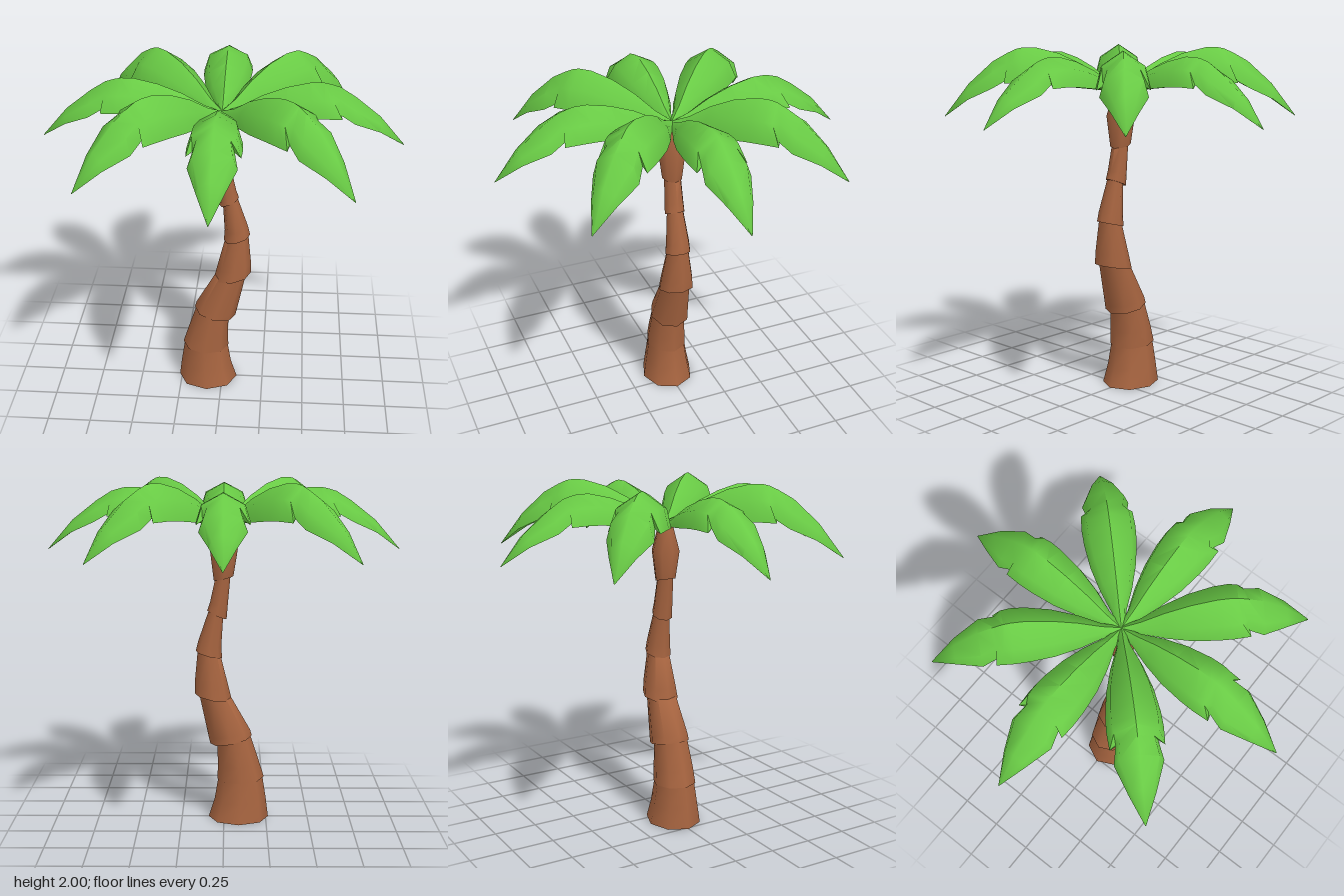
import * as THREE from 'three';
import { toCreasedNormals } from 'three/addons/utils/BufferGeometryUtils.js';

const bark = new THREE.MeshStandardMaterial({ name: 'barkBrown', color: 0xa5633f });
const leaf = new THREE.MeshStandardMaterial({ name: 'leafGreen', color: 0x69cb45 });

// Skin a list of closed rings (arrays of [x, y, z]) and cap both ends
function loft(rings, crease) {
  const n = rings[0].length, last = (rings.length - 1) * n, index = [];
  for (let i = 0; i < rings.length - 1; i++) {
    for (let j = 0; j < n; j++) {
      const a = i * n + j, b = i * n + (j + 1) % n;
      index.push(a, a + n, b, b, a + n, b + n);
    }
  }
  for (let j = 1; j < n - 1; j++) {
    index.push(0, j, j + 1, last, last + j + 1, last + j);
  }
  const g = new THREE.BufferGeometry();
  g.setAttribute('position', new THREE.Float32BufferAttribute(rings.flat(2), 3));
  g.setIndex(index);
  return toCreasedNormals(g, crease);
}

// Tilted eight-sided trunk ring: left x, y; right x, y; half depth
function trunkRing([x0, y0, x1, y1, depth]) {
  return Array.from({ length: 8 }, (_, j) => {
    const a = j * Math.PI / 4, t = (1 + Math.cos(a)) / 2;
    return [x0 + (x1 - x0) * t, y0 + (y1 - y0) * t, depth * Math.sin(a)];
  });
}

// Each trunk segment tucks into the slightly wider one above it
const segments = [
  [[-0.265, 0, 0.09, 0, 0.155], [-0.25, 0.12, 0.055, 0.11, 0.135], [-0.225, 0.28, 0.03, 0.26, 0.112]],
  [[-0.238, 0.25, 0.038, 0.235, 0.122], [-0.21, 0.34, 0.035, 0.33, 0.118], [-0.15, 0.525, 0.04, 0.49, 0.1]],
  [[-0.165, 0.505, 0.08, 0.455, 0.116], [-0.155, 0.54, 0.09, 0.5, 0.112], [-0.033, 0.755, 0.15, 0.785, 0.085]],
  [[-0.047, 0.72, 0.17, 0.76, 0.105], [-0.03, 0.79, 0.17, 0.83, 0.097], [0.023, 1.005, 0.15, 1.04, 0.062]],
  [[0.01, 0.975, 0.163, 1.015, 0.077], [0.015, 1.04, 0.15, 1.07, 0.071], [0.003, 1.235, 0.08, 1.275, 0.048]],
  [[-0.016, 1.205, 0.096, 1.255, 0.06], [-0.022, 1.28, 0.08, 1.3, 0.057], [-0.04, 1.48, 0.045, 1.46, 0.049]],
  [[-0.055, 1.455, 0.058, 1.43, 0.06], [-0.08, 1.61, 0.08, 1.61, 0.082], [-0.045, 1.745, 0.045, 1.745, 0.045]],
];

// Frond stations: ridge reach, ridge y, edge reach, edge half width, edge y
const stations = [
  [-0.02, 1.77, -0.02, 0.015, 1.755],
  [0.1, 1.815, 0.1, 0.038, 1.76],
  [0.22, 1.88, 0.22, 0.084, 1.775],
  [0.35, 1.93, 0.35, 0.12, 1.79],
  [0.48, 1.96, 0.48, 0.139, 1.805],
  [0.55, 1.96, 0.56, 0.143, 1.808],
  [0.585, 1.953, 0.65, 0.138, 1.805], // tooth
  [0.635, 1.938, 0.63, 0.105, 1.825], // notch
  [0.72, 1.885, 0.72, 0.125, 1.775],
  [0.86, 1.775, 0.86, 0.07, 1.71],
  [1, 1.613, 1, 0.002, 1.61],
];

// Cupped cross-section: gently sloped top, steep outer rim, hollow underside
function frondRing([r, y, er, w, ey], lift) {
  const top = y + lift * Math.min(1, w / 0.13);
  const thick = 0.04 * Math.min(1, w / 0.1) + 0.002;
  const mr = r + (er - r) * 0.25, mw = w * 0.8, my = ey + (top - ey) * 0.6;
  const bw = w * 0.68, by = my - thick;
  return [
    [-w, ey, er], [-mw, my, mr], [0, top, r], [mw, my, mr],
    [w, ey, er], [bw, by, mr], [0, top - thick, r], [-bw, by, mr],
  ];
}

export function createModel() {
  const model = new THREE.Group();
  model.name = 'palmTree';

  const trunk = new THREE.Group();
  trunk.name = 'trunk';
  segments.forEach((rows, i) => {
    const mesh = new THREE.Mesh(loft(rows.map(trunkRing), 1.15), bark);
    mesh.name = 'trunkSegment' + (i + 1);
    trunk.add(mesh);
  });

  // Eight fronds around the crown, the diagonal ones arched slightly higher
  const crown = new THREE.Group();
  crown.name = 'crown';
  const shapes = [0, 0.038].map((lift) => loft(stations.map((s) => frondRing(s, lift)), 1));
  for (let i = 0; i < 8; i++) {
    const frond = new THREE.Mesh(shapes[i % 2], leaf);
    frond.name = 'frond' + (i + 1);
    frond.rotation.y = i * Math.PI / 4;
    crown.add(frond);
  }

  model.add(trunk, crown);
  return model;
}
